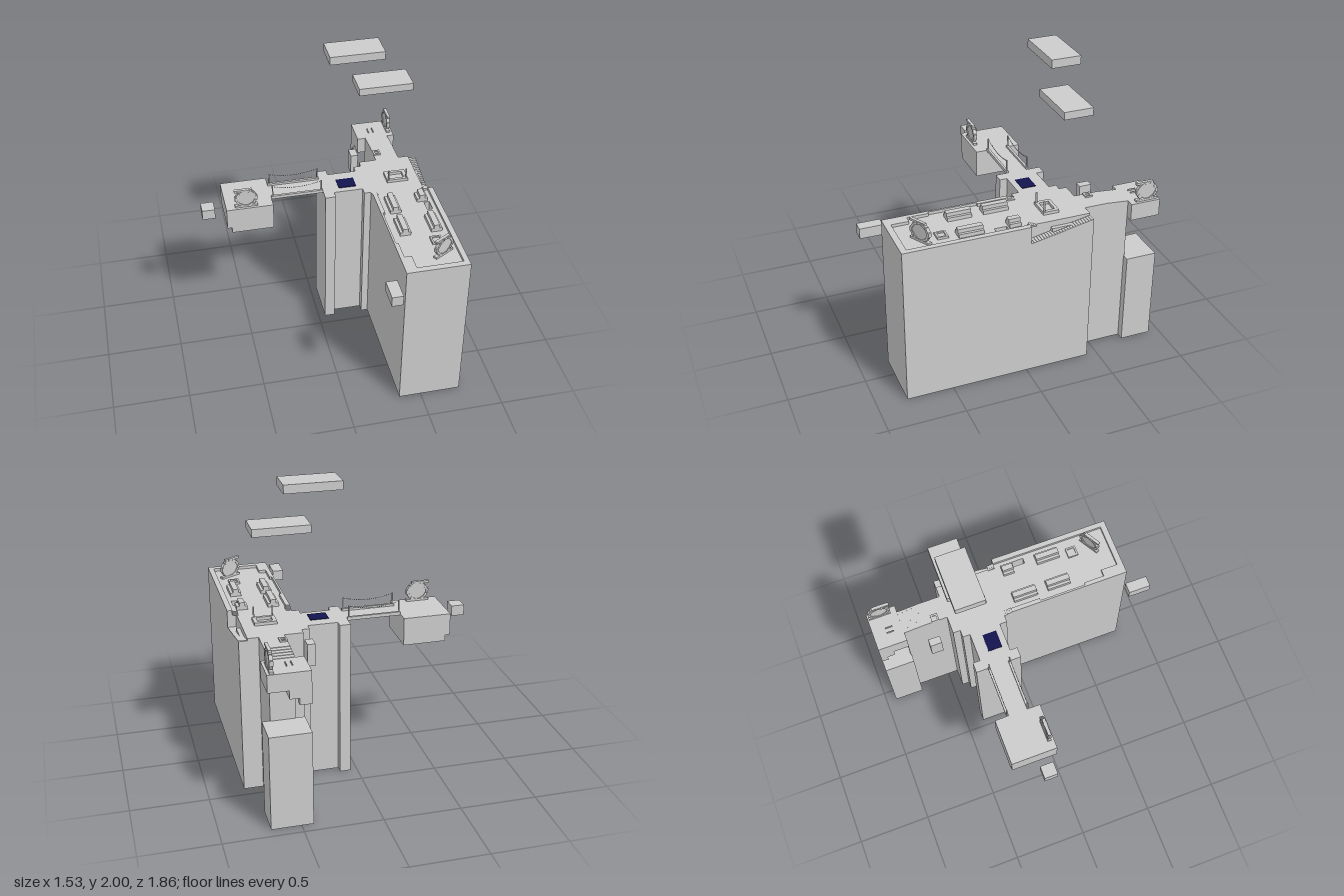
import * as THREE from 'three';

const grey = new THREE.MeshStandardMaterial({ color: 0xcccccc, flatShading: true });
const navy = new THREE.MeshStandardMaterial({ color: 0x14144f, flatShading: true });

function add(parent, name, geometry, material = grey) {
  const mesh = new THREE.Mesh(geometry, material);
  mesh.name = name;
  parent.add(mesh);
  return mesh;
}

// Box given by its extents along each axis
function block(parent, name, [x0, x1], [y0, y1], [z0, z1], material = grey) {
  const mesh = add(parent, name, new THREE.BoxGeometry(x1 - x0, y1 - y0, z1 - z0), material);
  mesh.position.set((x0 + x1) / 2, (y0 + y1) / 2, (z0 + z1) / 2);
  return mesh;
}

// Upright prism over a floor plan of [x, z] corners
function prism(parent, name, plan, height, holes = []) {
  const toPoints = (list) => list.map(([x, z]) => new THREE.Vector2(x, -z));
  const shape = new THREE.Shape(toPoints(plan));
  holes.forEach((h) => shape.holes.push(new THREE.Path(toPoints(h))));
  const geometry = new THREE.ExtrudeGeometry(shape, { depth: height, bevelEnabled: false });
  return add(parent, name, geometry.rotateX(-Math.PI / 2));
}

// Round stone portal, standing on its own origin and facing z
function portal(parent, x, y, z, turn) {
  const group = new THREE.Group();
  group.name = 'portal';
  const disc = add(group, 'portalDisc', new THREE.CylinderGeometry(0.066, 0.066, 0.014, 12).rotateX(Math.PI / 2));
  disc.position.y = 0.064;
  const count = 12;
  for (let i = 0; i < count; i++) {
    const a = (i / count) * Math.PI * 2;
    const r = 0.063 + (i % 3 === 0 ? 0.004 : 0);
    const stone = add(group, 'portalStone', new THREE.BoxGeometry(0.016, 0.03, 0.024));
    stone.position.set(Math.cos(a) * r, 0.064 + Math.sin(a) * r * 0.88, 0);
    stone.rotation.z = a;
  }
  block(group, 'portalFoot', [-0.075, 0.075], [0, 0.014], [-0.013, 0.013]);
  block(group, 'portalCap', [-0.078, 0.04], [0.118, 0.133], [-0.01, 0.01]);
  group.position.set(x, y, z);
  group.rotation.y = turn;
  parent.add(group);
}

// Square hatch with a raised rim
function hatch(parent, x, z, size, y) {
  block(parent, 'hatchBase', [x - size, x + size], [y, y + 0.006], [z - size, z + size]);
  for (const s of [-1, 1]) {
    const e = size - 0.006;
    block(parent, 'hatchRim', [x + s * e - 0.006, x + s * e + 0.006], [y, y + 0.015], [z - size, z + size]);
    block(parent, 'hatchRim', [x - e, x + e], [y, y + 0.015], [z + s * e - 0.006, z + s * e + 0.006]);
  }
}

export function createModel() {
  const model = new THREE.Group();
  model.name = 'skyFortress';

  // Main tower with its folded west wing and an open shaft
  prism(model, 'mainTower', [
    [0.355, 0.805], [0.765, 0.805], [0.765, -0.015], [0.71, -0.015], [0.71, -0.43], [0.36, -0.43],
    [0.36, -0.38], [0.31, -0.38], [0.31, -0.33], [0.115, -0.33], [0.115, -0.38], [0.045, -0.38],
    [0.045, -0.07], [0.115, -0.07], [0.115, -0.12], [0.31, -0.12], [0.31, -0.07], [0.355, -0.07],
  ], 1.05, [[[0.668, 0.11], [0.705, 0.11], [0.705, 0.19], [0.668, 0.19]]]);

  // Parapet around the front terrace
  const wall = [1.05, 1.07];
  block(model, 'parapet', [0.73, 0.765], wall, [-0.015, 0.805]);
  block(model, 'parapet', [0.355, 0.73], wall, [0.765, 0.805]);
  block(model, 'parapet', [0.355, 0.383], wall, [-0.015, 0.19]);
  block(model, 'parapet', [0.355, 0.368], wall, [0.19, 0.51]);
  block(model, 'parapet', [0.355, 0.383], wall, [0.51, 0.765]);
  block(model, 'parapetCorner', [0.383, 0.43], wall, [0.65, 0.765]);
  for (let i = 0; i < 3; i++) {
    const y = [1.05, 1.055 + i * 0.005], z = [-0.06 + i * 0.015, -0.045 + i * 0.015];
    block(model, 'parapetStep', [0.355, 0.39], y, z);
    block(model, 'parapetStep', [0.7, 0.735], y, z);
  }

  // Stairway descending along the right side
  const steps = 24;
  const stair = new THREE.Shape([new THREE.Vector2(-0.015, 0), new THREE.Vector2(-0.43, 0)]);
  for (let i = 0; i < steps; i++) {
    const y = 1.035 - (0.08 * i) / (steps - 1);
    stair.lineTo(-0.43 + (0.415 * i) / steps, y);
    stair.lineTo(-0.43 + (0.415 * (i + 1)) / steps, y);
  }
  const stairs = add(model, 'sideStairs', new THREE.ExtrudeGeometry(stair, { depth: 0.055, bevelEnabled: false }));
  stairs.rotation.y = -Math.PI / 2;
  stairs.position.x = 0.765;
  block(model, 'stairLedge', [0.7, 0.735], [0.985, 1.01], [-0.305, -0.165]);

  // Benches on the terrace
  for (const x of [0.455, 0.66]) {
    for (const z of [[0.025, 0.19], [0.265, 0.425]]) {
      const end = x > 0.6 && z[0] < 0.1 ? 0.1 : z[1];
      block(model, 'benchSeat', [x - 0.036, x + 0.036], [1.05, 1.075], [z[0], end]);
      block(model, 'benchBack', [x - 0.018, x + 0.018], [1.05, 1.1], [z[0], end]);
    }
  }
  hatch(model, 0.63, 0.515, 0.035, 1.05);
  hatch(model, 0.505, -0.51, 0.025, 1.045);

  // Square frame with posts in the crossing
  for (const s of [-1, 1]) {
    block(model, 'frameSide', [0.56 + s * 0.06 - 0.012, 0.56 + s * 0.06 + 0.012], [1.05, 1.07], [-0.255, -0.15]);
    block(model, 'frameBar', [0.488, 0.632], [1.05, 1.07], s < 0 ? [-0.255, -0.235] : [-0.17, -0.15]);
    block(model, 'framePost', [0.56 + s * 0.06 - 0.004, 0.56 + s * 0.06 + 0.004], [1.05, 1.14], [-0.165, -0.155]);
  }

  // Pool on the wing
  block(model, 'pool', [0.155, 0.275], [1.045, 1.054], [-0.255, -0.16], navy);

  // Rope bridge to the west island
  block(model, 'bridgeDeck', [-0.305, 0.045], [1.042, 1.05], [-0.3, -0.145]);
  for (const z of [-0.293, -0.152]) {
    block(model, 'bridgeEdge', [-0.305, 0.045], [1.045, 1.065], [z - 0.008, z + 0.008]);
    for (const x of [-0.295, 0.035]) block(model, 'bridgePost', [x - 0.004, x + 0.004], [1.05, 1.14], [z - 0.004, z + 0.004]);
    const curve = new THREE.QuadraticBezierCurve3(
      new THREE.Vector3(-0.295, 1.137, z), new THREE.Vector3(-0.13, 1.087, z), new THREE.Vector3(0.035, 1.137, z));
    for (const p of curve.getPoints(26)) {
      block(model, 'ropeLink', [p.x - 0.003, p.x + 0.003], [p.y - 0.002, p.y + 0.002], [z - 0.002, z + 0.002]);
    }
  }

  // West island
  block(model, 'westIsland', [-0.585, -0.305], [0.865, 1.05], [-0.38, -0.07]);
  block(model, 'westIslandLip', [-0.615, -0.585], [0.905, 1.05], [-0.38, -0.07]);

  // Rear pillar, its steps and the rear island
  block(model, 'rearPillar', [0.48, 0.64], [0, 1.025], [-0.73, -0.43]);
  block(model, 'rearWalk', [0.48, 0.64], [1.025, 1.05], [-0.6, -0.43]);
  for (let i = 0; i < 4; i++) {
    block(model, 'rearStep', [0.48, 0.64], [1.025, 1.047 - i * 0.003], [-0.633 - i * 0.0325, -0.6 - i * 0.0325]);
  }
  block(model, 'rearIsland', [0.425, 0.69], [0.92, 1.035], [-0.93, -0.73]);
  block(model, 'rearIslandUnderside', [0.425, 0.56], [0.865, 0.92], [-0.93, -0.835]);
  block(model, 'rearIslandTip', [0.425, 0.5], [0.82, 0.865], [-0.93, -0.885]);
  for (const x of [0.52, 0.555]) block(model, 'rearMarker', [x - 0.003, x + 0.003], [1.035, 1.045], [-0.84, -0.79]);
  block(model, 'rearTower', [0.425, 0.69], [0, 0.63], [-0.93, -0.725]);

  // Portals
  portal(model, -0.48, 1.05, -0.1, 0);
  portal(model, 0.635, 1.05, 0.645, Math.PI / 6);
  portal(model, 0.66, 1.035, -0.845, Math.PI / 2);

  // Floating blocks
  block(model, 'floatingSlab', [0.11, 0.47], [1.945, 2], [-0.44, -0.25]);
  block(model, 'floatingSlab', [0.305, 0.665], [1.695, 1.745], [-0.44, -0.25]);
  block(model, 'floatingBlock', [-0.77, -0.685], [0.96, 1.03], [-0.215, -0.125]);
  block(model, 'floatingBlock', [0.232, 0.305], [0.935, 1.005], [0.78, 0.93]);
  block(model, 'floatingBlock', [0.325, 0.375], [0.9, 1.045], [-0.6, -0.52]);

  return model;
}
